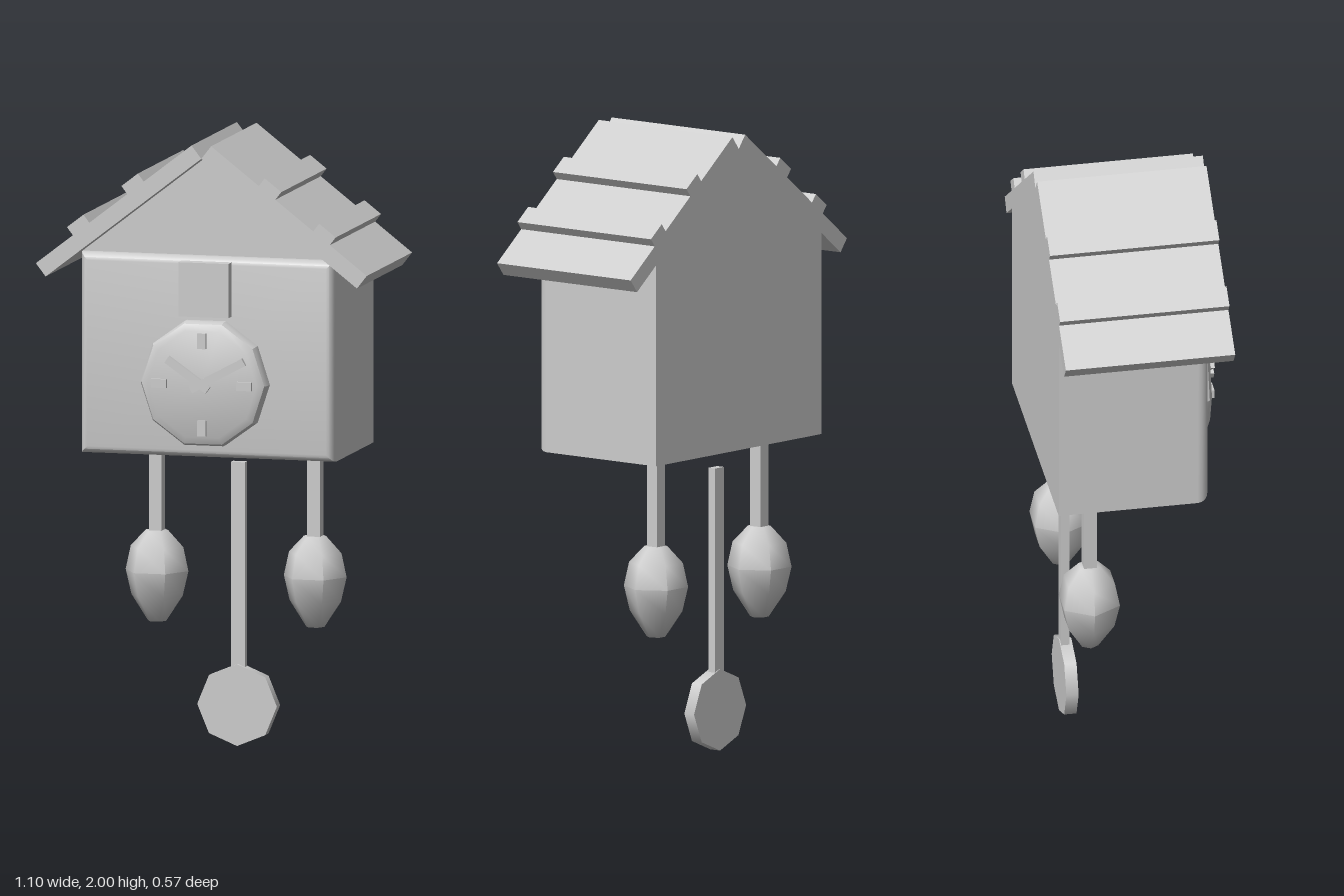
import * as THREE from 'three';
import { toCreasedNormals } from 'three/addons/utils/BufferGeometryUtils.js';

export function createModel() {
  const model = new THREE.Group();
  model.name = 'cuckooClock';
  const grey = new THREE.MeshStandardMaterial({ color: 0xcccccc });
  grey.name = 'plain grey';

  const add = (name, geometry, x = 0, y = 0, z = 0, parent = model) => {
    const mesh = new THREE.Mesh(geometry, grey);
    mesh.name = name;
    mesh.position.set(x, y, z);
    parent.add(mesh);
    return mesh;
  };
  // Box given by its limits on each axis
  const box = (name, x0, x1, y0, y1, z0, z1, parent) =>
    add(name, new THREE.BoxGeometry(Math.abs(x1 - x0), y1 - y0, z1 - z0),
      (x0 + x1) / 2, (y0 + y1) / 2, (z0 + z1) / 2, parent);
  const outline = (pts) => new THREE.Shape(pts.map(([x, y]) => new THREE.Vector2(x, y)));

  // House body with gable
  const house = outline([[-0.42, 0.98], [0.42, 0.98], [0.42, 1.63], [0, 1.955], [-0.42, 1.63]]);
  add('house', new THREE.ExtrudeGeometry(house, { depth: 0.452, bevelEnabled: false }), 0, 0, -0.287);

  // Front panel with rounded edges
  const panel = outline([[-0.42, 0.98], [0.42, 0.98], [0.42, 1.63], [-0.42, 1.63]]);
  const panelGeometry = new THREE.ExtrudeGeometry(panel, {
    depth: 0.01, bevelThickness: 0.035, bevelSize: 0.025, bevelOffset: -0.025, bevelSegments: 4,
  });
  add('frontPanel', toCreasedNormals(panelGeometry, 0.6), 0, 0, 0.155);

  // Roof: each side is a tilted slab with two battens
  const tilt = Math.atan2(0.398, 0.514);
  for (const s of [1, -1]) {
    const side = new THREE.Group();
    side.name = s > 0 ? 'leftRoof' : 'rightRoof';
    side.position.y = 1.955;
    side.rotation.z = -s * tilt;
    model.add(side);
    box('roofSlab', 0, s * 0.652, 0, 0.053, -0.287, 0.263, side);
    for (const u of [0.2, 0.428]) box('roofBatten', s * u, s * (u + 0.069), 0.03, 0.085, -0.287, 0.263, side);
  }

  // Bird door
  box('door', -0.083, 0.083, 1.44, 1.615, 0.18, 0.238);

  // Dial: ten-sided disc with a softened rim
  const dialProfile = [[0, 0.19], [0.21, 0.19], [0.21, 0.23], [0.203, 0.243], [0.18, 0.254], [0, 0.254]]
    .map(([r, h]) => new THREE.Vector2(r, h));
  const dialGeometry = new THREE.LatheGeometry(dialProfile, 10, Math.PI / 2).rotateX(Math.PI / 2);
  add('dial', toCreasedNormals(dialGeometry, 0.55), 0, 1.225, 0);

  // Hour marks
  for (let i = 0; i < 4; i++) {
    const a = (i * Math.PI) / 2;
    const mark = add('hourMark', new THREE.BoxGeometry(0.05, 0.028, 0.02),
      Math.cos(a) * 0.141, 1.225 + Math.sin(a) * 0.141, 0.255);
    mark.rotation.z = a;
  }

  // Hands, each from its tail to its tip
  const hand = (name, x0, y0, x1, y1, z) => {
    const mesh = add(name, new THREE.BoxGeometry(Math.hypot(x1 - x0, y1 - y0), 0.026, 0.013),
      (x0 + x1) / 2, (y0 + y1) / 2, z);
    mesh.rotation.z = Math.atan2(y1 - y0, x1 - x0);
  };
  hand('hourHand', 0.024, 1.21, -0.112, 1.305, 0.268);
  hand('minuteHand', -0.03, 1.212, 0.146, 1.307, 0.281);

  // Chains and six-sided cone weights
  const weightProfile = [[0, 0.395], [0.03, 0.397], [0.085, 0.48], [0.104, 0.56], [0.087, 0.637], [0.037, 0.69], [0, 0.69]]
    .map(([r, h]) => new THREE.Vector2(r, h));
  const weightGeometry = toCreasedNormals(
    new THREE.LatheGeometry(weightProfile, 6, Math.PI / 6), 1.06);
  for (const x of [0.262, -0.262]) {
    box('chain', x - 0.021, x + 0.021, 0.67, 0.985, -0.18, -0.138);
    add('weight', weightGeometry, x, 0, -0.159);
  }

  // Pendulum
  box('pendulumRod', -0.023, 0.023, 0.25, 0.915, -0.207, -0.18);
  add('pendulumBob', new THREE.CylinderGeometry(0.132, 0.132, 0.04, 8).rotateX(Math.PI / 2), 0, 0.132, -0.19);

  return model;
}
